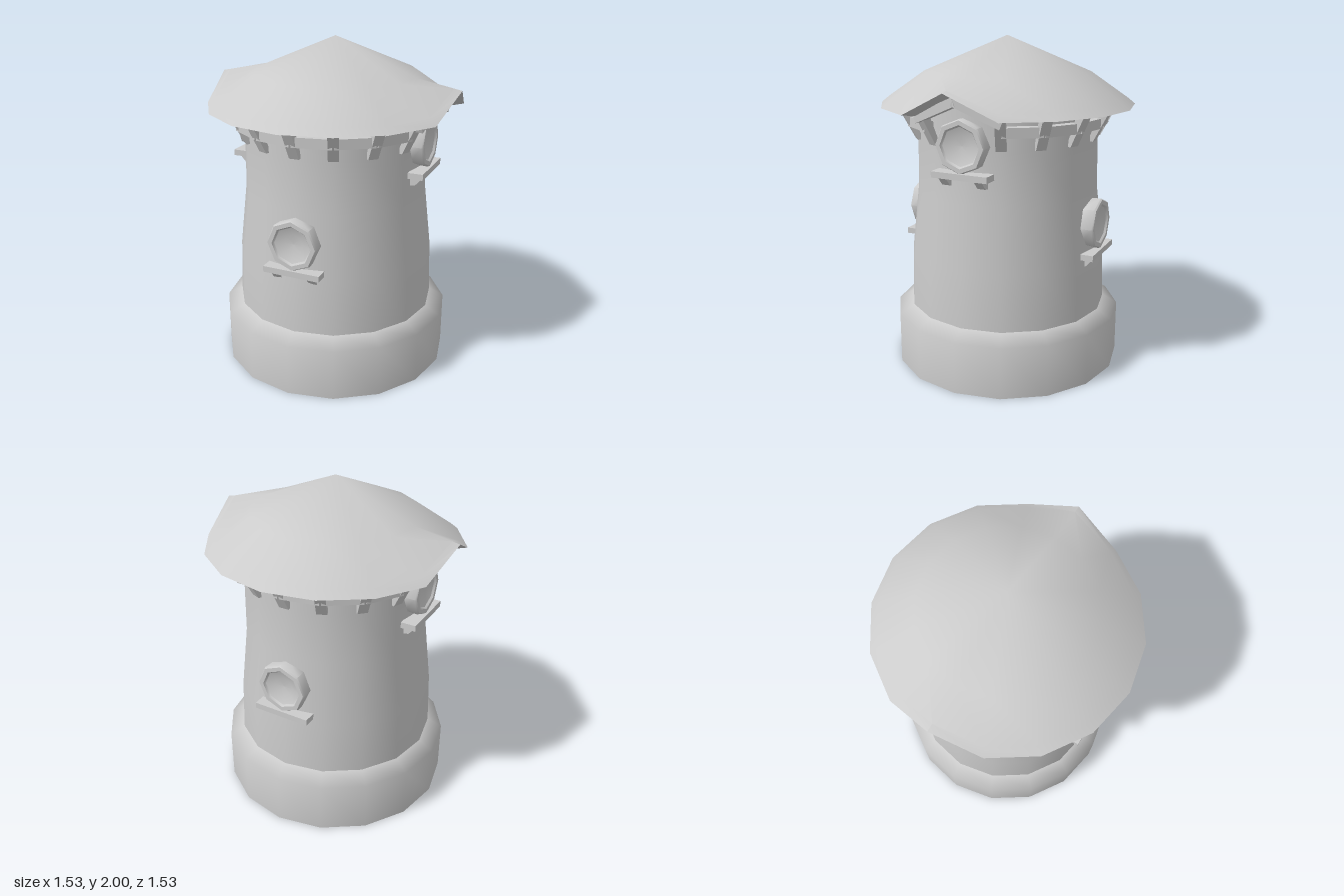
import * as THREE from 'three';
import { toCreasedNormals } from 'three/addons/utils/BufferGeometryUtils.js';

const SIDES = 16;
const STEP = (Math.PI * 2) / SIDES;
const mat = new THREE.MeshStandardMaterial({ color: 0xcccccc, side: THREE.DoubleSide });

const lathe = (pts, sides) =>
  new THREE.LatheGeometry(pts.map(([r, y]) => new THREE.Vector2(r, y)), sides);

function add(parent, name, geo) {
  const mesh = new THREE.Mesh(geo, mat);
  mesh.name = name;
  parent.add(mesh);
  return mesh;
}

// Square-cut timber running between two points
function beam(parent, name, a, b, width, height) {
  const from = new THREE.Vector3(...a), to = new THREE.Vector3(...b);
  const mesh = add(parent, name, new THREE.BoxGeometry(width, height, from.distanceTo(to)));
  mesh.position.copy(from).lerp(to, 0.5);
  mesh.lookAt(to);
  return mesh;
}

// Conical roof whose eave is lifted into a small gable on each side
function roofGeometry() {
  const geo = lathe([[0.54, 1.58], [0.64, 1.58], [0.766, 1.6], [0.72, 1.637], [0.5, 1.79], [0, 2]], SIDES);
  const pos = geo.attributes.position;
  const lift = (r) => (r < 0.51 ? 0 : r < 0.6 ? 0.1 : r < 0.7 ? 0.13 : r < 0.74 ? 0.112 : 0.14);
  for (let i = 0; i < pos.count; i++) {
    if (Math.abs(pos.getZ(i)) < 0.001) pos.setY(i, pos.getY(i) + lift(Math.abs(pos.getX(i))));
  }
  return toCreasedNormals(geo, 0.9);
}

// Octagonal window, facing +z with its outer face at z = 0
function makeWindow(name) {
  const g = new THREE.Group();
  g.name = name;
  const frame = lathe([[0.15, -0.09], [0.155, -0.01], [0.148, 0], [0.122, 0], [0.112, -0.012]], 8);
  add(g, 'windowFrame', toCreasedNormals(frame.rotateX(Math.PI / 2), 0.8));
  const bowl = lathe([[0, -0.036], [0.06, -0.032], [0.112, -0.012]], 8);
  add(g, 'windowRecess', bowl.rotateX(Math.PI / 2));
  add(g, 'windowSill', new THREE.BoxGeometry(0.35, 0.036, 0.09)).position.set(0, -0.165, -0.032);
  // Sill brackets, tapering back to the wall
  for (const s of [-1, 1]) {
    const shape = new THREE.Shape();
    shape.moveTo(0, 0);
    shape.lineTo(-0.08, 0);
    shape.lineTo(-0.08, -0.055);
    shape.lineTo(-0.045, -0.05);
    const geo = new THREE.ExtrudeGeometry(shape, { depth: 0.05, bevelEnabled: false });
    geo.translate(0, 0, -0.025).rotateY(-Math.PI / 2);
    add(g, 'sillBracket', geo).position.set(s * 0.112, -0.182, 0);
  }
  return g;
}

export function createModel() {
  const tower = new THREE.Group();
  tower.name = 'tower';

  // Body: open-bottomed base, tapering wall, roof
  add(tower, 'base', lathe([[0.703, 0], [0.703, 0.315], [0.61, 0.37]], SIDES));
  add(tower, 'wall', lathe([[0.612, 0.365], [0.6, 0.7], [0.555, 1.09], [0.55, 1.4], [0.55, 1.7]], SIDES));
  add(tower, 'roof', roofGeometry());

  // Windows: low at front and back, high under the side gables
  const windows = [
    ['frontWindow', 0, 0.915, 0.622], ['backWindow', Math.PI, 0.915, 0.622],
    ['leftWindow', Math.PI / 2, 1.43, 0.6], ['rightWindow', -Math.PI / 2, 1.43, 0.6],
  ];
  for (const [name, angle, y, r] of windows) {
    const w = makeWindow(name);
    w.position.set(Math.sin(angle) * r, y, Math.cos(angle) * r);
    w.rotation.y = angle;
    tower.add(w);
  }

  // Slanted struts under the eave, left out where the gables are
  for (let i = 0; i < SIDES; i++) {
    if (i % 8 === 4) continue;
    const strut = new THREE.Group();
    strut.name = 'eaveStrut';
    const side = new THREE.Shape();
    side.moveTo(0.53, 1.41);
    side.lineTo(0.562, 1.41);
    side.lineTo(0.655, 1.585);
    side.lineTo(0.6, 1.585);
    const geo = new THREE.ExtrudeGeometry(side, { depth: 0.06, bevelEnabled: false });
    add(strut, 'strut', geo.translate(0, 0, -0.03).rotateY(-Math.PI / 2));
    strut.rotation.y = i * STEP;
    tower.add(strut);
  }

  // Rail behind the struts, one run for the front and one for the back
  for (const s of [0, 1]) {
    const rail = new THREE.Group();
    rail.name = s ? 'backRail' : 'frontRail';
    for (let i = -3; i < 3; i++) {
      const p = (k) => [0.585 * Math.sin(k * STEP), 1.518, 0.585 * Math.cos(k * STEP)];
      beam(rail, 'railSegment', p(i), p(i + 1), 0.055, 0.058);
    }
    rail.rotation.y = s * Math.PI;
    tower.add(rail);
  }

  // Gable rafters over the side windows
  for (const x of [-1, 1]) {
    for (const z of [-1, 1]) {
      beam(tower, 'gableRafter', [x * 0.635, 1.685, -z * 0.008], [x * 0.595, 1.57, z * 0.262], 0.06, 0.05);
    }
  }
  return tower;
}
